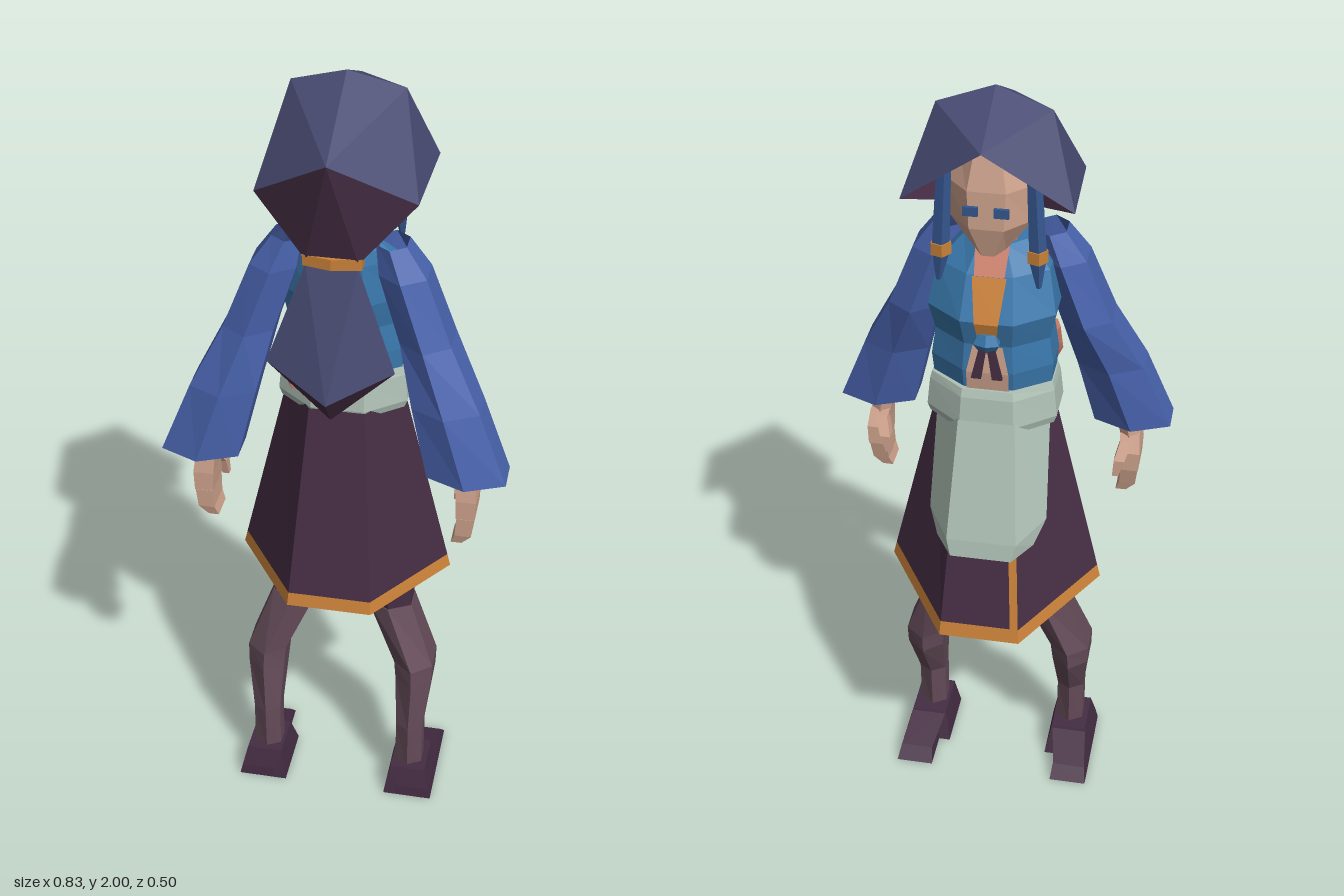
import * as THREE from 'three';

const mat = (name, color) => {
  const m = new THREE.MeshStandardMaterial({ color, flatShading: true, side: THREE.DoubleSide });
  m.name = name;
  return m;
};

const M = {
  hood: mat('slate blue', 0x484b72),
  plum: mat('dark plum', 0x452d43),
  orange: mat('orange trim', 0xcb8239),
  skin: mat('skin', 0xcfa38d),
  coral: mat('shaded skin', 0xc97c66),
  shirt: mat('teal blue', 0x3a78ac),
  sleeve: mat('sleeve blue', 0x4862ac),
  sash: mat('pale sage', 0xb0c2b7),
  stocking: mat('mauve stocking', 0x644b58),
  braid: mat('braid blue', 0x35578f),
};

// Faceted mesh from points and triangles, wound outward by its signed volume
function facets(name, material, pts, tris) {
  const v = pts.map(p => new THREE.Vector3(...p));
  const c = v.reduce((a, p) => a.add(p), new THREE.Vector3()).divideScalar(v.length);
  let vol = 0;
  for (const [a, b, d] of tris) {
    const A = v[a].clone().sub(c), B = v[b].clone().sub(c), D = v[d].clone().sub(c);
    vol += A.dot(B.cross(D));
  }
  const pos = [];
  for (const [a, b, d] of tris) {
    for (const i of vol < 0 ? [a, d, b] : [a, b, d]) pos.push(v[i].x, v[i].y, v[i].z);
  }
  const g = new THREE.BufferGeometry();
  g.setAttribute('position', new THREE.Float32BufferAttribute(pos, 3));
  g.computeVertexNormals();
  const mesh = new THREE.Mesh(g, material);
  mesh.name = name;
  return mesh;
}

// Skin between cross-sections; closed around, optionally capped
function loft(name, material, rings, { caps = true, closed = true } = {}) {
  const n = rings[0].length, tris = [];
  for (let r = 0; r < rings.length - 1; r++) {
    for (let i = 0; i < (closed ? n : n - 1); i++) {
      const a = r * n + i, b = r * n + (i + 1) % n;
      tris.push([a, b, b + n], [a, b + n, a + n]);
    }
  }
  if (caps && closed) {
    const e = (rings.length - 1) * n;
    for (let i = 1; i < n - 1; i++) tris.push([0, i + 1, i], [e, e + i, e + i + 1]);
  }
  return facets(name, material, rings.flat(), tris);
}

// Horizontal polygon section with flat sides at front and back
function ring(y, x, z, rx, rz, n = 8) {
  const k = 1 / Math.cos(Math.PI / n);
  return Array.from({ length: n }, (_, i) => {
    const t = (i + 0.5) / n * Math.PI * 2;
    return [x + Math.cos(t) * rx * k, y, z - Math.sin(t) * rz * k];
  });
}
const sections = (rows, n) => rows.map(r => ring(...r, n));
const lerpRing = (a, b, t) => a.map((p, i) => p.map((c, k) => c + (b[i][k] - c) * t));
const mirrored = build => [build(1, 'left'), build(-1, 'right')];

function createModel() {
  const model = new THREE.Group();
  model.name = 'hoodedVillager';
  const add = (...m) => model.add(...m);

  // Hood: open at the face (-z), plum underneath
  const hood = [
    [0, 2, -0.01], [0, 1.92, -0.19],
    [0.13, 1.96, -0.03], [-0.13, 1.96, -0.03],
    [0.195, 1.765, -0.125], [-0.195, 1.765, -0.125],
    [0.185, 1.755, 0.12], [-0.185, 1.755, 0.12],
    [0, 1.88, 0.225],
    [0.06, 1.62, 0.165], [-0.06, 1.62, 0.165],
  ];
  add(facets('hoodCrown', M.hood, hood, [
    [0, 2, 1], [1, 2, 4], [2, 6, 4], [0, 8, 2], [2, 8, 6],
    [0, 1, 3], [1, 5, 3], [3, 5, 7], [0, 3, 8], [3, 7, 8],
  ]));
  add(facets('hoodLower', M.plum, hood, [
    [8, 9, 6], [4, 6, 9], [8, 7, 10], [5, 10, 7], [8, 10, 9],
  ]));
  add(loft('hoodTie', M.orange, sections([[1.632, 0, 0.15, 0.068, 0.025], [1.605, 0, 0.15, 0.068, 0.025]], 6)));

  // Hanging tail of the hood
  const tail = [
    [-0.06, 1.61, 0.165], [0.06, 1.61, 0.165], [0.15, 1.36, 0.19], [-0.15, 1.36, 0.19],
    [0, 1.29, 0.25], [0, 1.215, 0.19], [0, 1.36, 0.13], [0, 1.6, 0.13],
  ];
  add(facets('hoodTail', M.hood, tail, [
    [0, 4, 1], [1, 4, 2], [0, 3, 4], [1, 2, 6], [1, 6, 7], [0, 6, 3], [0, 7, 6],
  ]));
  add(facets('hoodTailTip', M.plum, tail, [[3, 5, 4], [4, 5, 2], [2, 5, 6], [3, 6, 5]]));

  // Head, eyes, brows and neck
  add(loft('head', M.skin, sections([
    [1.88, 0, -0.02, 0.075, 0.09], [1.8, 0, -0.02, 0.105, 0.11],
    [1.71, 0, -0.025, 0.095, 0.108], [1.635, 0, -0.05, 0.035, 0.065],
  ])));
  add(loft('neck', M.coral, sections([[1.7, 0, 0, 0.045, 0.045], [1.57, 0, 0.01, 0.055, 0.05]], 6)));
  add(...mirrored((s, side) => {
    const eye = new THREE.Mesh(new THREE.BoxGeometry(0.034, 0.022, 0.008), M.braid);
    eye.position.set(s * 0.035, 1.755, -0.135);
    eye.name = side + 'Eye';
    return eye;
  }));

  // Braids with orange ties
  add(...mirrored((s, side) => {
    const g = new THREE.Group();
    g.name = side + 'Braid';
    const strand = (name, m, rows) => g.add(loft(name, m, sections(rows, 5)));
    strand('strand', M.braid, [[1.84, s * 0.1, -0.1, 0.014, 0.014], [1.65, s * 0.11, -0.1, 0.017, 0.017]]);
    strand('braidTie', M.orange, [[1.655, s * 0.11, -0.1, 0.02, 0.02], [1.625, s * 0.11, -0.1, 0.02, 0.02]]);
    strand('braidEnd', M.braid, [[1.625, s * 0.11, -0.1, 0.016, 0.016], [1.56, s * 0.115, -0.105, 0.005, 0.005]]);
    return g;
  }));

  // Shirt
  add(loft('shirt', M.shirt, sections([
    [1.63, 0, 0.02, 0.075, 0.07], [1.57, 0, 0, 0.13, 0.09], [1.47, 0, -0.02, 0.15, 0.115],
    [1.4, 0, -0.015, 0.135, 0.1], [1.33, 0, -0.015, 0.145, 0.105], [1.26, 0, -0.01, 0.14, 0.1],
  ])));
  const panel = (name, m, rows) => add(loft(name, m,
    rows.map(([y, z, w]) => [[w, y, z], [-w, y, z]]), { closed: false }));
  panel('neckline', M.coral, [[1.632, -0.055, 0.04], [1.57, -0.096, 0.035]]);
  panel('collarStrip', M.orange, [[1.57, -0.097, 0.04], [1.47, -0.141, 0.028], [1.4, -0.121, 0.02]]);
  panel('belly', M.skin, [[1.4, -0.12, 0.035], [1.33, -0.126, 0.05], [1.26, -0.116, 0.05]]);
  // Chest knot with two tails
  add(loft('chestKnot', M.shirt, sections([
    [1.44, 0, -0.125, 0.02, 0.012], [1.415, 0, -0.13, 0.03, 0.018], [1.39, 0, -0.12, 0.02, 0.012]], 6)));
  add(...mirrored((s, side) => loft(side + 'KnotTail', M.plum, sections([
    [1.41, s * 0.008, -0.13, 0.008, 0.005], [1.32, s * 0.025, -0.132, 0.012, 0.005]], 4))));
  add(loft('hipPouch', M.coral, sections([
    [1.36, -0.125, 0.06, 0.015, 0.03], [1.29, -0.105, 0.08, 0.035, 0.04], [1.24, -0.1, 0.08, 0.02, 0.03]], 5)));

  // Sash and front apron
  add(loft('sash', M.sash, sections([
    [1.28, 0, -0.015, 0.145, 0.11], [1.26, 0, -0.015, 0.15, 0.117],
    [1.19, 0, -0.015, 0.157, 0.125], [1.17, 0, -0.015, 0.15, 0.12]])));
  const apron = (y, w, z, sw, sz, sy) => [[sw, sy, sz], [w, y, z], [-w, y, z], [-sw, sy, sz]];
  add(loft('apron', M.sash, [
    apron(1.2, 0.068, -0.14, 0.137, -0.035, 1.2),
    apron(0.9, 0.085, -0.218, 0.145, -0.12, 0.92),
    apron(0.855, 0.075, -0.225, 0.12, -0.16, 0.865),
  ], { closed: false }));

  // Six-sided skirt with hem and a front stripe
  const top = [[0.145, 1.19, 0], [0.065, 1.19, -0.122], [-0.065, 1.19, -0.122],
    [-0.145, 1.19, 0], [-0.068, 1.19, 0.115], [0.068, 1.19, 0.115]];
  const bottom = [[0.27, 0.668, -0.01], [0.1, 0.62, -0.253], [-0.1, 0.62, -0.253],
    [-0.27, 0.668, -0.01], [-0.105, 0.672, 0.23], [0.105, 0.672, 0.23]];
  const hem = lerpRing(top, bottom, 0.935);
  add(loft('skirt', M.plum, [top, hem], { caps: false }));
  add(loft('skirtHem', M.orange, [hem, bottom], { caps: false }));
  const stripe = p => [[p[0], p[1], p[2] - 0.004], [p[0] + 0.02, p[1], p[2] - 0.004]];
  add(loft('skirtStripe', M.orange, [stripe(top[2]), stripe(hem[2])], { closed: false }));

  // Arms: flared sleeves and hands
  add(...mirrored((s, side) => {
    const g = new THREE.Group();
    g.name = side + 'Arm';
    const part = (name, m, rows, n, opt) =>
      g.add(loft(name, m, rows.map(([y, x, z, rx, rz]) => ring(y, s * x, z, rx, rz, n)), opt));
    part('sleeve', M.sleeve, [
      [1.63, 0.12, 0.06, 0.035, 0.045], [1.56, 0.15, 0.065, 0.055, 0.065],
      [1.4, 0.208, 0.078, 0.06, 0.075], [1.25, 0.265, 0.12, 0.08, 0.07],
      [1.075, 0.322, 0.142, 0.094, 0.07]], 6, { caps: false });
    part('wrist', M.skin, [[1.2, 0.29, 0.12, 0.028, 0.03], [1.03, 0.318, 0.125, 0.024, 0.03]], 6);
    part('palm', M.skin, [[1.04, 0.318, 0.125, 0.024, 0.032], [1, 0.322, 0.118, 0.025, 0.046],
      [0.95, 0.322, 0.118, 0.023, 0.047]], 4);
    part('fingers', M.skin, [[0.95, 0.322, 0.12, 0.021, 0.046], [0.9, 0.318, 0.125, 0.02, 0.04],
      [0.875, 0.302, 0.125, 0.013, 0.034]], 4);
    part('thumb', M.skin, [[1.03, 0.312, 0.095, 0.015, 0.014], [0.985, 0.298, 0.07, 0.013, 0.015],
      [0.94, 0.29, 0.064, 0.008, 0.009]], 4);
    return g;
  }));

  // Legs: thighs, stockings and shoes
  add(...mirrored((s, side) => {
    const g = new THREE.Group();
    g.name = side + 'Leg';
    const part = (name, m, rows) =>
      g.add(loft(name, m, rows.map(([y, x, z, rx, rz]) => ring(y, s * x, z, rx, rz, 6))));
    part('thigh', M.plum, [[0.95, 0.085, 0, 0.06, 0.07], [0.7, 0.115, 0.015, 0.055, 0.06],
      [0.55, 0.127, 0.022, 0.055, 0.05]]);
    part('stocking', M.stocking, [[0.57, 0.125, 0.022, 0.057, 0.053], [0.4, 0.195, 0.045, 0.05, 0.07],
      [0.35, 0.197, 0.05, 0.047, 0.07], [0.21, 0.193, 0.092, 0.035, 0.04], [0.06, 0.193, 0.095, 0.035, 0.035]]);
    const rect = (x0, x1, z0, z1, y0, y1) =>
      [[s * x0, y0, z0], [s * x1, y0, z0], [s * x1, y1, z1], [s * x0, y1, z1]];
    g.add(loft('shoe', M.plum, [
      rect(0.15, 0.242, 0.04, 0.15, 0.077, 0.085),
      rect(0.17, 0.255, -0.07, 0.165, 0.032, 0.03),
      rect(0.165, 0.262, -0.1, 0.168, 0, 0)]));
    g.add(loft('heel', M.plum, [
      rect(0.15, 0.242, 0.03, 0.15, 0.08, 0.085), rect(0.135, 0.262, 0, 0.168, 0, 0)]));
    return g;
  }));

  return model;
}

export { createModel };
